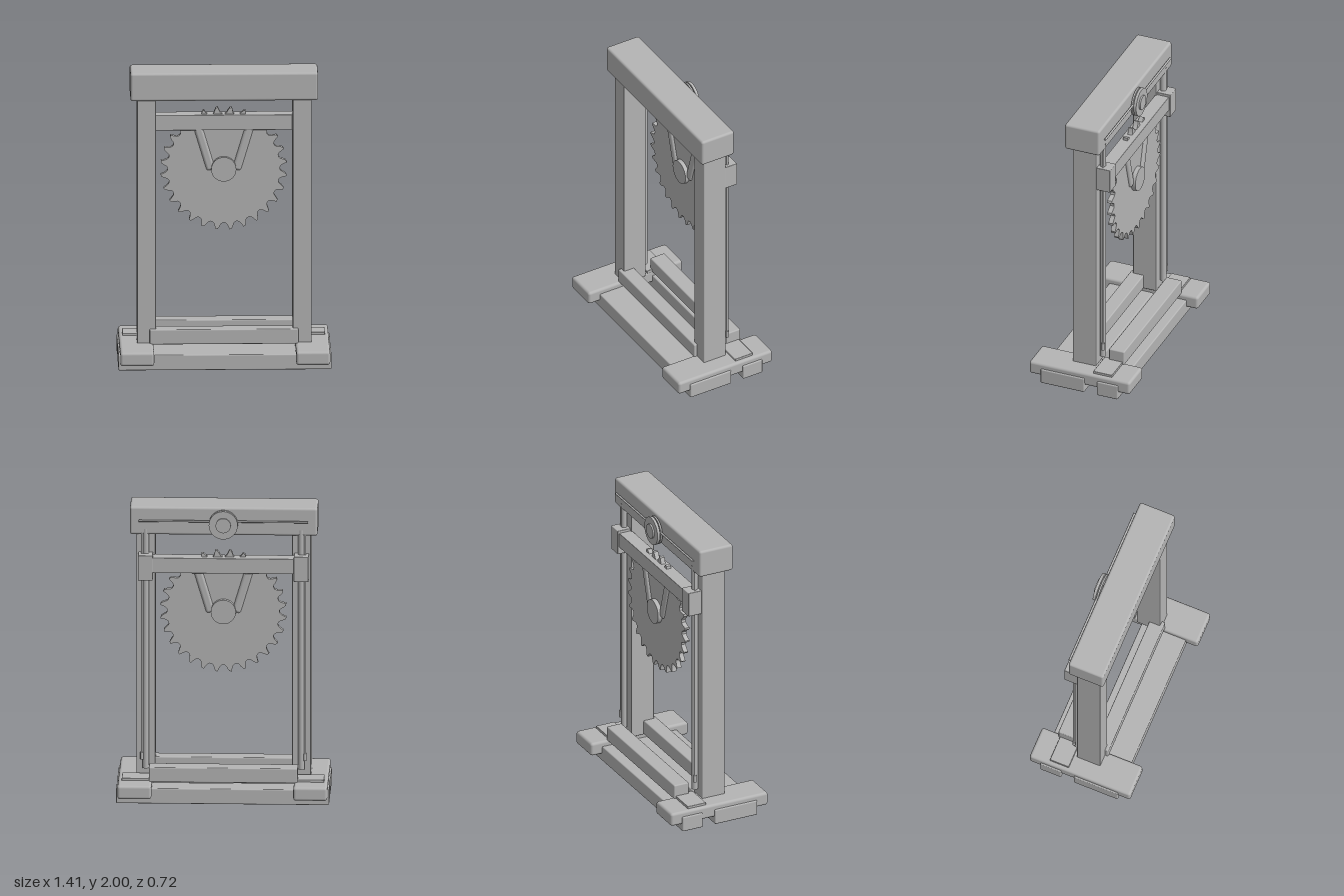
import * as THREE from 'three';
import { RoundedBoxGeometry } from 'three/addons/geometries/RoundedBoxGeometry.js';
import { toCreasedNormals } from 'three/addons/utils/BufferGeometryUtils.js';

export function createModel() {
  const model = new THREE.Group();
  model.name = 'sawFrame';
  const grey = new THREE.MeshStandardMaterial({ color: 0xb4b4b4 });
  grey.name = 'grey';

  const add = (name, geometry, x = 0, y = 0, z = 0) => {
    const mesh = new THREE.Mesh(geometry, grey);
    mesh.name = name;
    mesh.position.set(x, y, z);
    model.add(mesh);
    return mesh;
  };
  // Rounded box given by its extents on each axis
  const box = (name, x0, x1, y0, y1, z0, z1, r = 0.008) =>
    add(name, new RoundedBoxGeometry(x1 - x0, y1 - y0, z1 - z0, 3, r),
      (x0 + x1) / 2, (y0 + y1) / 2, (z0 + z1) / 2);
  // The same box on both sides
  const pair = (name, x0, x1, ...rest) => {
    box(name + 'Left', x0, x1, ...rest);
    box(name + 'Right', -x1, -x0, ...rest);
  };
  // Upright rod between two heights
  const rod = (name, x, y0, y1, z, r) =>
    add(name, new THREE.CylinderGeometry(r, r, y1 - y0, 20), x, (y0 + y1) / 2, z);
  // Disc facing the front
  const disc = (name, y, z0, z1, r) => {
    const g = new THREE.CylinderGeometry(r, r, z1 - z0, 40).rotateX(Math.PI / 2);
    return add(name, g, 0, y, (z0 + z1) / 2);
  };

  // Base
  box('frontPlank', -0.705, 0.705, 0.005, 0.11, -0.04, 0.275);
  box('backPlank', -0.705, 0.705, 0.005, 0.11, -0.28, -0.13);
  pair('foot', 0.47, 0.695, 0.055, 0.147, -0.362, 0.36, 0.018);
  pair('footPlate', 0.47, 0.67, 0.14, 0.163, -0.225, -0.09, 0.004);
  box('frontRail', -0.495, 0.49, 0.14, 0.242, 0.02, 0.12);
  box('backRail', -0.495, 0.49, 0.14, 0.242, -0.237, -0.127);

  // Upright frame
  pair('post', 0.453, 0.578, 0.14, 1.83, -0.07, 0.097, 0.006);
  box('topBeam', -0.622, 0.62, 1.81, 2, -0.113, 0.137, 0.016);

  // Guide rods, cables and end fittings
  for (const s of [1, -1]) {
    rod('guideRod', s * 0.515, 0.2, 1.85, -0.095, 0.021);
    rod('liftCable', s * 0.54, 0.27, 1.9, -0.106, 0.007);
    rod('cableEnd', s * 0.54, 0.26, 0.31, -0.106, 0.011);
  }

  // Pulley and the cable running across the top beam
  const topCable = add('topCable', new THREE.CylinderGeometry(0.007, 0.007, 1.12, 12), 0, 1.91, -0.13);
  topCable.rotation.z = Math.PI / 2;
  disc('pulleyWheel', 1.89, -0.157, -0.138, 0.096);
  disc('pulleyRearFlange', 1.89, -0.132, -0.12, 0.096);
  disc('pulleyHub', 1.89, -0.168, -0.105, 0.05);

  // Sliding carriage
  box('carriageBeam', -0.48, 0.48, 1.558, 1.662, -0.155, -0.06, 0.004);
  pair('carriageBlock', 0.467, 0.565, 1.508, 1.68, -0.166, -0.068, 0.005);

  // Saw blade with curved teeth
  const teeth = 28, step = (Math.PI * 2) / teeth;
  const profile = [[0, 0.372], [0.2, 0.372], [0.34, 0.383], [0.44, 0.402],
    [0.5, 0.42], [0.66, 0.416], [0.78, 0.398], [0.88, 0.38]];
  const points = [];
  for (let i = 0; i < teeth; i++) {
    for (const [t, r] of profile) {
      const a = (i + t) * step - 0.02;
      points.push(new THREE.Vector2(Math.cos(a) * r, Math.sin(a) * r));
    }
  }
  const blade = new THREE.ExtrudeGeometry(new THREE.Shape(points),
    { depth: 0.032, bevelEnabled: false });
  add('sawBlade', toCreasedNormals(blade, 0.6), 0, 1.29, -0.116);

  // Hub and the two arms that hang it from the carriage
  disc('sawHub', 1.29, -0.146, -0.056, 0.083);
  for (const s of [1, -1]) {
    const arm = add('hubArm', new RoundedBoxGeometry(0.058, 0.33, 0.064, 3, 0.018),
      s * 0.131, 1.44, -0.1);
    arm.rotation.z = -s * 0.29;
  }

  return model;
}
